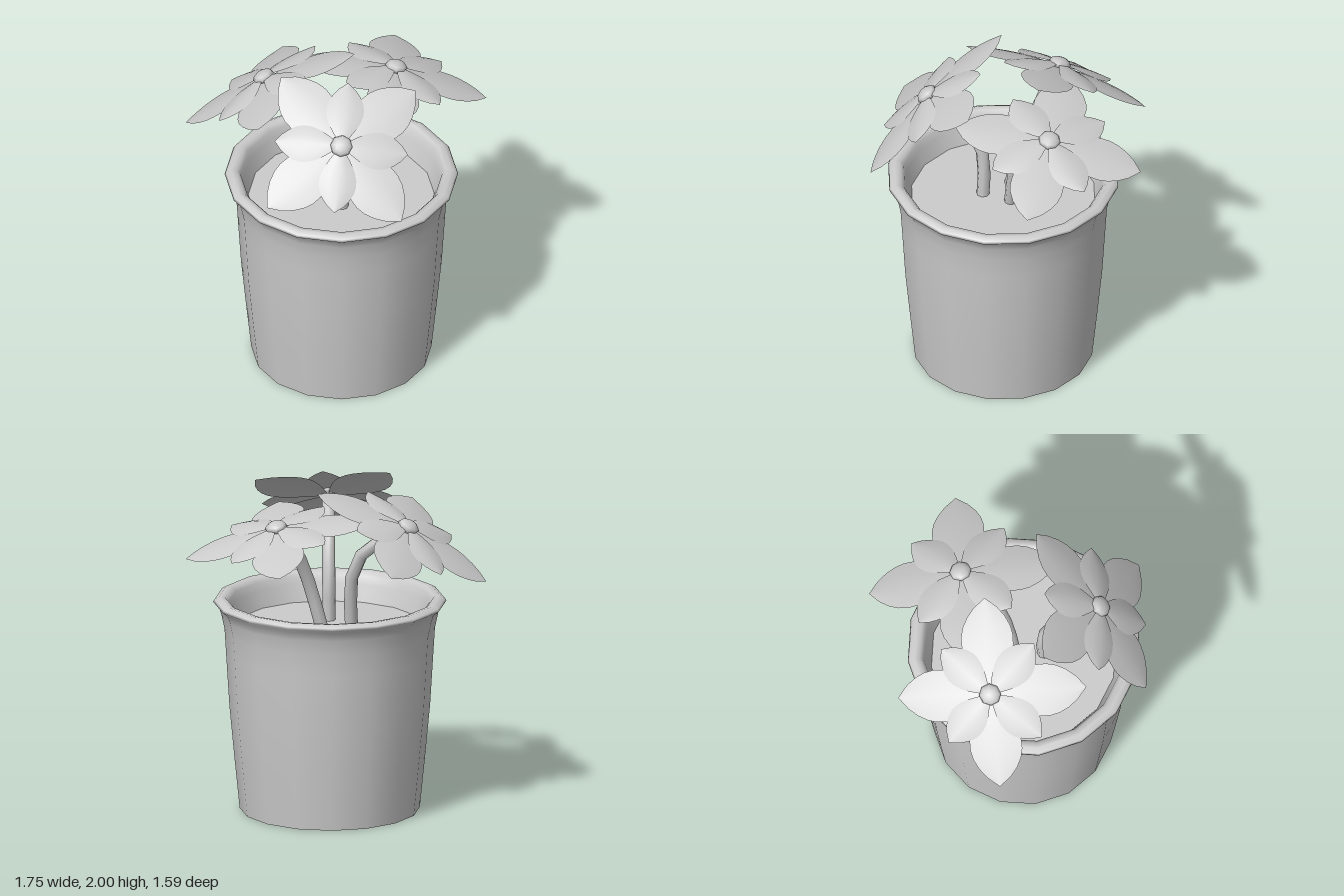
import * as THREE from 'three';

const grey = new THREE.MeshStandardMaterial({ color: 0xcccccc });
const thin = new THREE.MeshStandardMaterial({ color: 0xcccccc, side: THREE.DoubleSide });
const V = (x, y, z) => new THREE.Vector3(x, y, z);

function add(parent, name, geometry, material = grey) {
  const mesh = new THREE.Mesh(geometry, material);
  mesh.name = name;
  parent.add(mesh);
  return mesh;
}

// Leaf-shaped blade along +x that droops to the tip and falls off to both sides
function petalGeometry(length, width, baseY, tipY, ridge) {
  const g = new THREE.PlaneGeometry(1, 1, 10, 4);
  g.rotateX(-Math.PI / 2);
  const p = g.attributes.position;
  for (let i = 0; i < p.count; i++) {
    const t = p.getX(i) + 0.5;
    const s = p.getZ(i) * 2;
    const w = Math.pow(Math.max(0, Math.sin(Math.PI * Math.pow(t, 1.2))), 0.8);
    const y = baseY + (tipY - baseY) * Math.pow(t, 1.7) - ridge * s * s * w;
    p.setXYZ(i, t * length, y, s * w * width / 2);
  }
  g.computeVertexNormals();
  return g;
}

const outerPetal = petalGeometry(0.557, 0.31, -0.03, -0.095, 0.015);
const innerPetal = petalGeometry(0.39, 0.22, -0.008, -0.06, 0.02);

// Four large petals, four small ones between them, and a button
function createFlower(center, normal, petalDir) {
  const flower = new THREE.Group();
  flower.name = 'flower';
  for (let i = 0; i < 4; i++) {
    add(flower, 'outerPetal', outerPetal, thin).rotation.y = i * Math.PI / 2;
    add(flower, 'innerPetal', innerPetal, thin).rotation.y = (i + 0.5) * Math.PI / 2;
  }
  const button = add(flower, 'flowerCenter', new THREE.SphereGeometry(0.065, 8, 6));
  button.scale.y = 0.55;
  button.position.y = -0.01;

  const y = normal.clone().normalize();
  const z = petalDir.clone().cross(y).normalize();
  const x = y.clone().cross(z);
  flower.quaternion.setFromRotationMatrix(new THREE.Matrix4().makeBasis(x, y, z));
  flower.position.copy(center);
  return flower;
}

// Pot with rolled rim and inner wall, closed base, and soil
function createPot() {
  const pot = new THREE.Group();
  pot.name = 'pot';
  const profile = [
    [0.525, 0], [0.555, 0.3], [0.585, 0.62], [0.605, 0.95], [0.613, 1.08], [0.632, 1.17], [0.648, 1.22],
    [0.68, 1.245], [0.672, 1.258], [0.643, 1.275], [0.61, 1.27], [0.588, 1.245],
    [0.575, 1.2], [0.55, 1.13], [0.53, 1.06],
  ].map(([r, y]) => new THREE.Vector2(r, y));
  add(pot, 'potWall', new THREE.LatheGeometry(profile, 16), thin);
  add(pot, 'potBase', new THREE.CircleGeometry(0.525, 16).rotateX(Math.PI / 2));
  add(pot, 'soil', new THREE.CircleGeometry(0.545, 16).rotateX(-Math.PI / 2)).position.y = 1.1;
  pot.position.set(0.017, 0, 0.06);
  return pot;
}

export function createModel() {
  const model = new THREE.Group();
  model.name = 'pottedFlowers';
  model.add(createPot());

  // Each plant: flower centre, facing direction, direction of one large petal, stem points
  const plants = [
    {
      center: V(0.015, 1.785, 0.52), normal: V(0, 0.755, 0.655), petal: V(0.777, 0.41, -0.475),
      stem: [V(0.02, 1.08, 0.18), V(0.02, 1.39, 0.18), V(0.02, 1.6, 0.28)],
    },
    {
      center: V(-0.44, 1.77, -0.2), normal: V(-0.45, 0.867, -0.217), petal: V(0.49, 0.26, 0.02),
      stem: [V(-0.11, 1.08, 0.04), V(-0.11, 1.42, -0.04), V(-0.2, 1.61, -0.11)],
    },
    {
      center: V(0.34, 1.79, -0.27), normal: V(0.217, 0.966, -0.146), petal: V(0.554, -0.12, 0.03),
      stem: [V(0.06, 1.08, 0.01), V(0.14, 1.38, -0.03), V(0.23, 1.62, -0.12)],
    },
  ];
  for (const { center, normal, petal, stem } of plants) {
    model.add(createFlower(center, normal, petal));
    const end = center.clone().addScaledVector(normal, -0.03);
    const path = new THREE.CatmullRomCurve3([...stem, end]);
    add(model, 'stem', new THREE.TubeGeometry(path, 5, 0.038, 8), thin);
  }
  return model;
}
